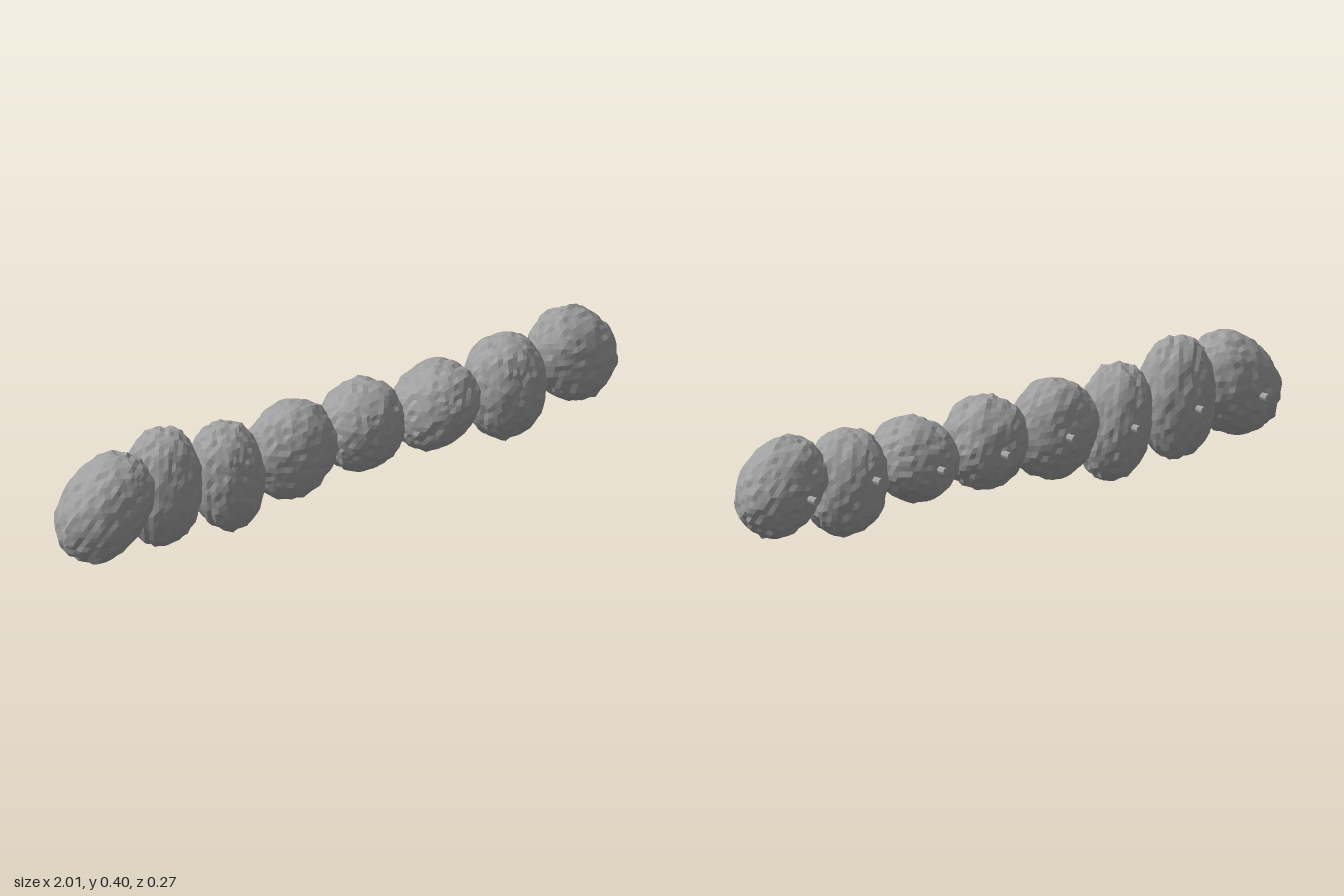
import * as THREE from 'three';

const stone = new THREE.MeshStandardMaterial({ color: 0xa0a0a0, flatShading: true });
stone.name = 'stoneGrey';

// centre x, y, z; radii x, y, z; tilt about z
const LUMPS = [
  [-0.843, 0.207, 0.005, 0.135, 0.172, 0.107, -0.75],
  [-0.628, 0.205, -0.005, 0.122, 0.184, 0.096, 0],
  [-0.395, 0.173, -0.005, 0.112, 0.174, 0.098, 0.18],
  [-0.165, 0.192, 0.0, 0.147, 0.148, 0.1, 0.5],
  [0.085, 0.197, 0.005, 0.132, 0.138, 0.107, 0.3],
  [0.345, 0.19, 0.014, 0.14, 0.122, 0.115, 0.55],
  [0.605, 0.17, 0.004, 0.127, 0.16, 0.106, 0.1],
  [0.852, 0.2, 0.0, 0.132, 0.156, 0.1, 0.75],
];

// Smooth, repeatable bumpiness over the unit sphere
function bump(v, seed) {
  const wave = (f, k) =>
    Math.sin(v.x * f + v.y * f * 0.43 + k) *
    Math.sin(v.y * f * 0.91 - v.z * f * 0.37 + k * 1.7) *
    Math.sin(v.z * f * 1.07 + v.x * f * 0.31 + k * 2.3);
  return 0.03 * wave(4, seed) + 0.035 * wave(11, seed + 2) + 0.035 * wave(23, seed + 5);
}

// Faceted, slightly squared ellipsoid with a rough surface
function lumpGeometry(rx, ry, rz, seed) {
  const geometry = new THREE.IcosahedronGeometry(1, 8);
  const pos = geometry.attributes.position;
  const v = new THREE.Vector3();
  const p = 2.2;
  for (let i = 0; i < pos.count; i++) {
    v.fromBufferAttribute(pos, i);
    const norm = Math.abs(v.x) ** p + Math.abs(v.y) ** p + Math.abs(v.z) ** p;
    const r = (1 + bump(v, seed)) / norm ** (1 / p);
    pos.setXYZ(i, v.x * r * rx, v.y * r * ry, v.z * r * rz);
  }
  geometry.computeVertexNormals();
  return geometry;
}

export function createModel() {
  const group = new THREE.Group();
  group.name = 'lumpRow';

  LUMPS.forEach(([x, y, z, rx, ry, rz, tilt], i) => {
    const lump = new THREE.Mesh(lumpGeometry(rx, ry, rz, i * 3.1 + 1), stone);
    lump.name = `lump${i + 1}`;
    lump.position.set(x, y, z);
    lump.rotation.z = tilt;
    group.add(lump);

    // Short mounting peg at the back, evenly spaced
    const peg = new THREE.Mesh(new THREE.CylinderGeometry(0.012, 0.01, 0.06, 8), stone);
    peg.name = `backPeg${i + 1}`;
    peg.rotation.x = -Math.PI / 2;
    peg.position.set(-0.873 + i * 0.242, 0.185 + 0.008 * Math.sin(i * 2.4), -0.101);
    group.add(peg);
  });

  return group;
}
